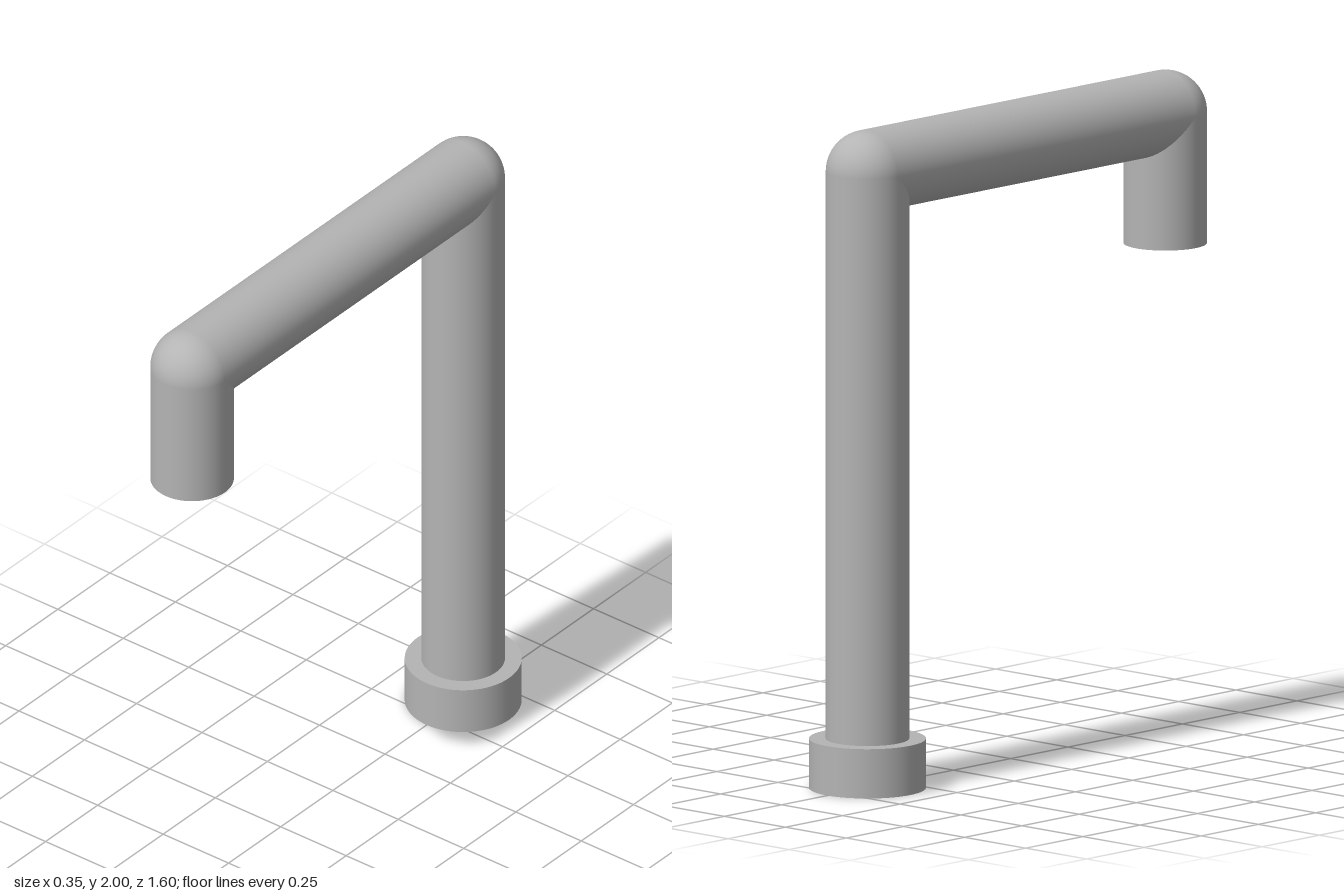
import * as THREE from 'three';

export function createModel() {
  const model = new THREE.Group();
  const metal = new THREE.MeshStandardMaterial({ color: 0xb4b4b4 });
  metal.name = 'brushed grey metal';

  const R = 0.125;        // pipe radius
  const armY = 2 - R;     // height of the arm's axis
  const backZ = -0.625;   // column axis
  const frontZ = 0.675;   // spout axis
  const baseH = 0.15;
  const spoutEnd = 1.475;

  const add = (name, geometry, y, z) => {
    const mesh = new THREE.Mesh(geometry, metal);
    mesh.name = name;
    mesh.position.set(0, y, z);
    model.add(mesh);
    return mesh;
  };
  const pipe = (length) => new THREE.CylinderGeometry(R, R, length, 64, 1, true);

  // Mounting collar and upright column
  add('base', new THREE.CylinderGeometry(0.175, 0.175, baseH, 64), baseH / 2, backZ);
  add('column', pipe(armY - baseH), (armY + baseH) / 2, backZ);

  // Horizontal arm
  add('arm', pipe(frontZ - backZ), armY, (frontZ + backZ) / 2).rotation.x = Math.PI / 2;

  // Rounded elbows
  add('backElbow', new THREE.SphereGeometry(R, 64, 32), armY, backZ);
  add('frontElbow', new THREE.SphereGeometry(R, 64, 32), armY, frontZ);

  // Downward spout with closed end
  add('spout', pipe(armY - spoutEnd), (armY + spoutEnd) / 2, frontZ);
  add('spoutEnd', new THREE.CircleGeometry(R, 64), spoutEnd, frontZ).rotation.x = Math.PI / 2;

  return model;
}
